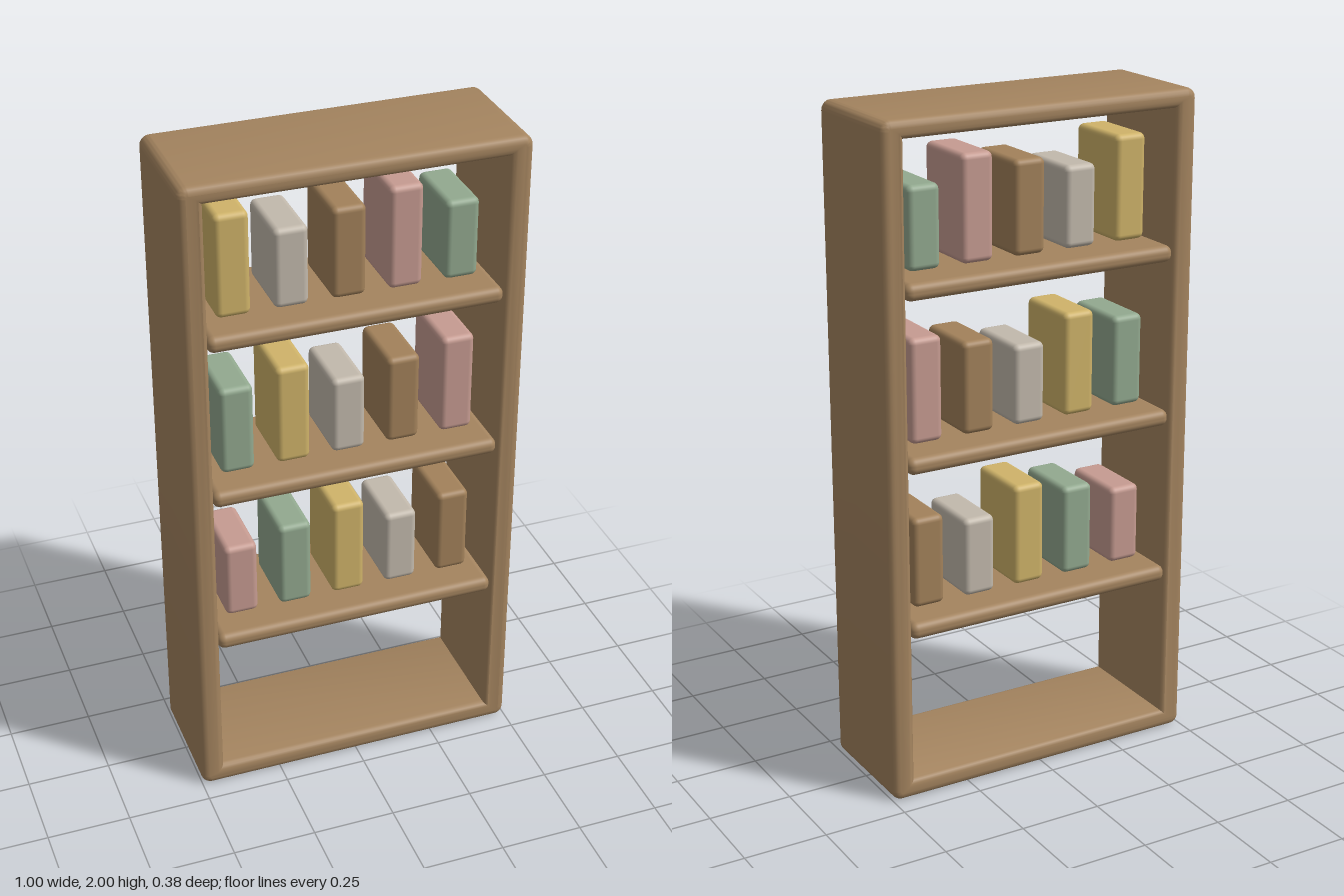
import * as THREE from 'three';
import { toCreasedNormals } from 'three/addons/utils/BufferGeometryUtils.js';
import { RoundedBoxGeometry } from 'three/addons/geometries/RoundedBoxGeometry.js';

const material = (name, color) => {
  const m = new THREE.MeshStandardMaterial({ color });
  m.name = name;
  return m;
};

// Traces a rectangle with rounded corners
function roundedRect(path, x0, y0, x1, y1, r) {
  path.moveTo(x0 + r, y0);
  path.lineTo(x1 - r, y0);
  path.absarc(x1 - r, y0 + r, r, -Math.PI / 2, 0);
  path.lineTo(x1, y1 - r);
  path.absarc(x1 - r, y1 - r, r, 0, Math.PI / 2);
  path.lineTo(x0 + r, y1);
  path.absarc(x0 + r, y1 - r, r, Math.PI / 2, Math.PI);
  path.lineTo(x0, y0 + r);
  path.absarc(x0 + r, y0 + r, r, Math.PI, Math.PI * 1.5);
  return path;
}

export function createModel() {
  const group = new THREE.Group();
  group.name = 'bookcase';

  const wood = material('wood', 0xa4845f);
  const books = {
    gold: material('gold cover', 0xcfb369),
    grey: material('grey cover', 0xc2b9ac),
    brown: material('brown cover', 0xa2815a),
    pink: material('pink cover', 0xc69b91),
    green: material('green cover', 0x92a98f),
  };

  const add = (name, geometry, mat, x, y, z, parent = group) => {
    const mesh = new THREE.Mesh(geometry, mat);
    mesh.name = name;
    mesh.position.set(x, y, z);
    parent.add(mesh);
  };

  // Open frame: one rounded ring with softened front and back edges
  const bevel = 0.022, depth = 0.38;
  const outline = roundedRect(new THREE.Shape(), -0.5, 0, 0.5, 2, 0.03);
  const opening = new THREE.Path();
  opening.moveTo(-0.43, 0.06);
  opening.lineTo(-0.43, 1.945);
  opening.lineTo(0.43, 1.945);
  opening.lineTo(0.43, 0.06);
  opening.closePath();
  outline.holes.push(opening);
  const frame = new THREE.ExtrudeGeometry(outline, {
    depth: depth - 2 * bevel,
    bevelEnabled: true,
    bevelThickness: bevel,
    bevelSize: bevel,
    bevelOffset: -bevel,
    bevelSegments: 4,
    curveSegments: 5,
  });
  add('frame', toCreasedNormals(frame, 0.7), wood, 0, 0, -depth / 2 + bevel);

  // Shelves, each with a row of five books [colour, height]
  const rows = [
    [0.5, [['pink', 0.24], ['green', 0.275], ['gold', 0.31], ['grey', 0.24], ['brown', 0.275]]],
    [1.0, [['green', 0.275], ['gold', 0.31], ['grey', 0.24], ['brown', 0.275], ['pink', 0.31]]],
    [1.5, [['gold', 0.31], ['grey', 0.24], ['brown', 0.275], ['pink', 0.31], ['green', 0.24]]],
  ];
  for (const [y, row] of rows) {
    add('shelf', new RoundedBoxGeometry(0.865, 0.05, 0.38, 4, 0.022), wood, 0, y + 0.025, 0);
    const rowGroup = new THREE.Group();
    rowGroup.name = 'bookRow';
    group.add(rowGroup);
    row.forEach(([colour, height], i) => {
      const book = new RoundedBoxGeometry(0.1, height, 0.22, 3, 0.018);
      add('book', book, books[colour], (i - 2) / 6, y + 0.06 + height / 2, 0, rowGroup);
    });
  }
  return group;
}
